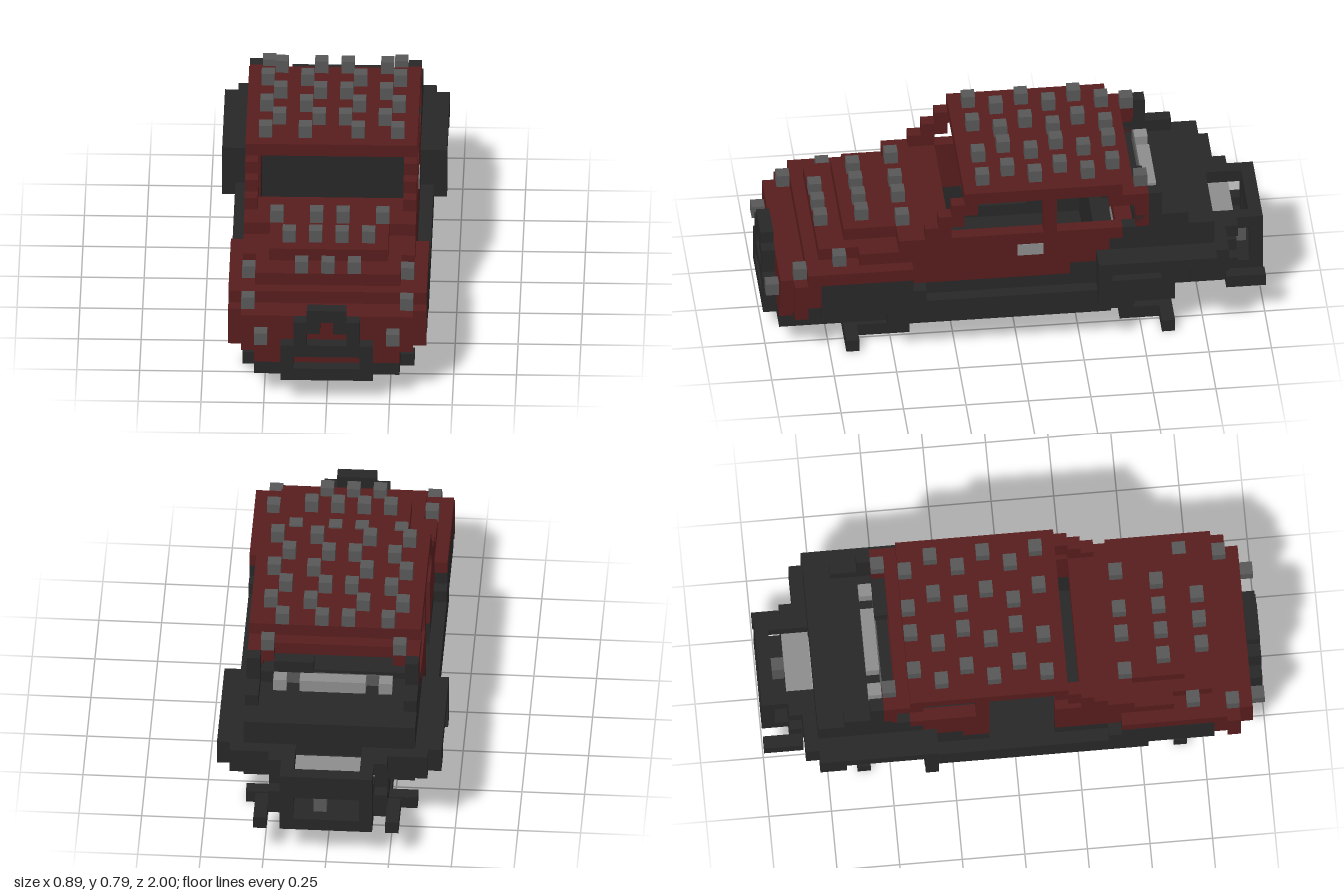
import * as THREE from 'three';

const V = 2 / 38; // edge of one block

const mat = (name, color) => {
  const m = new THREE.MeshStandardMaterial({ color });
  m.name = name;
  return m;
};

export function createModel() {
  const car = new THREE.Group();
  car.name = 'blockCar';
  const red = mat('body red', 0x571d1d);
  const dark = mat('trim black', 0x272727);
  const grey = mat('stud grey', 0x575757);
  const pale = mat('metal grey', 0x8c8c8c);
  const beige = mat('warm grey', 0xb2b1a5);

  // Ranges are block edges: x from the centre, y from the ground, k from the nose backwards
  const box = (name, m, x0, x1, y0, y1, k0, k1) => {
    const mesh = new THREE.Mesh(
      new THREE.BoxGeometry((x1 - x0) * V, (y1 - y0) * V, (k1 - k0) * V), m);
    mesh.position.set((x0 + x1) * V / 2, (y0 + y1) * V / 2, 1 - (k0 + k1) * V / 2);
    mesh.name = name;
    car.add(mesh);
  };
  const mid = (name, m, w, ...r) => box(name, m, -w, w, ...r);
  const pair = (name, m, x0, x1, ...r) => {
    box(name + 'Left', m, x0, x1, ...r);
    box(name + 'Right', m, -x1, -x0, ...r);
  };

  // Floor, bulkheads and sills
  mid('floor', dark, 5.5, 2, 3, 1, 26);
  mid('firewall', dark, 5.5, 3, 9, 12, 13);
  mid('rearBulkhead', dark, 5.5, 3, 9, 25, 26);
  pair('frontInnerSill', dark, 4.5, 5.5, 3, 4, 2, 9);
  pair('sill', dark, 5.5, 7.5, 3, 4, 9, 26);
  box('sillUpperLeft', dark, 5.5, 6.5, 4, 6, 12, 25);
  box('sillUpperRightFront', dark, -6.5, -5.5, 4, 6, 12, 16);
  box('sillUpperRightRear', dark, -6.5, -5.5, 4, 6, 21, 25);
  pair('sillLedge', dark, 6.5, 7.5, 4, 5, 12, 25);
  pair('frontWheelPanel', dark, 6.5, 7.5, 4, 7, 4, 11);
  pair('frontWheelPanelEnd', dark, 5.5, 7.5, 4, 6, 11, 12);
  pair('frontCorner', dark, 5.5, 6.5, 4, 5, 3, 4);

  // Nose and stepped bonnet
  mid('noseLower', red, 5.5, 3, 4, 1, 2);
  mid('nose', red, 6.5, 4, 7, 1, 2);
  pair('noseSide', red, 5.5, 7.5, 4, 7, 2, 3);
  pair('noseSideUpper', red, 5.5, 7.5, 5, 7, 3, 4);
  mid('bonnetFront', red, 6.5, 6, 7, 2, 4);
  mid('bonnetLow', red, 7.5, 7, 8, 3, 11);
  mid('bonnetMiddle', red, 5.5, 8, 9, 4, 14);
  mid('bonnetTop', red, 4.5, 9, 10, 6, 14);
  mid('scuttle', red, 6.5, 9, 10, 10, 14);
  pair('bonnetShoulder', red, 5.5, 6.5, 8, 9, 7, 12);
  pair('fenderRear', red, 5.5, 6.5, 6, 8, 11, 12);

  // Grille
  mid('grilleBase', dark, 3.5, 2, 3, 0, 1);
  pair('grilleSide', dark, 2.5, 3.5, 3, 4, 0, 1);
  mid('grilleBar', dark, 3.5, 4, 5, 0, 1);
  pair('grilleShoulder', dark, 1.5, 2.5, 5, 7, 0, 1);
  pair('grilleInner', dark, 0.5, 1.5, 6, 7, 0, 1);
  mid('grilleTop', dark, 1.5, 7, 8, 0, 1);

  // Doors: the left one is whole, the right one has an open gap
  box('doorLeft', red, 5.5, 6.5, 6, 10, 12, 23);
  box('doorFrontRight', red, -6.5, -5.5, 6, 10, 12, 16);
  box('doorRearRight', red, -6.5, -5.5, 6, 10, 21, 23);
  pair('quarterA', red, 5.5, 6.5, 7, 10, 23, 25);
  pair('quarterB', red, 5.5, 6.5, 8, 10, 25, 26);
  pair('quarterC', red, 5.5, 6.5, 9, 10, 26, 27);
  box('doorHandle', pale, 6.5, 6.55, 8, 9, 19, 21);

  // Pillars and roof
  [[10, 12], [11, 13], [12, 14]].forEach(([y, k]) =>
    pair('frontPillar', red, 5.5, 6.5, y, y + 1, k, k + 2));
  pair('centrePillar', red, 5.5, 6.5, 10, 13, 21, 22);
  pair('rearPillarTop', red, 5.5, 6.5, 12, 13, 26, 29);
  pair('rearPillar', red, 5.5, 6.5, 10, 12, 28, 29);
  mid('rearHeader', red, 5.5, 12, 13, 26, 28);
  pair('rearStudMount', red, 4.5, 5.5, 12, 13, 28, 29);
  mid('roof', red, 6.5, 13, 14, 15, 27);
  pair('rearWindowFin', dark, 5.5, 6.5, 11, 13, 29, 30);
  box('cabinUnit', dark, 1.5, 4.5, 11, 12, 28, 29);
  box('cabinUnitSide', dark, 4.5, 5.5, 10, 11, 28, 29);

  // Rear quarters and deck
  pair('rearQuarterA', dark, 5.5, 6.5, 4, 7, 23, 25);
  pair('rearQuarterB', dark, 5.5, 6.5, 4, 8, 25, 26);
  pair('rearQuarterC', dark, 5.5, 6.5, 7, 9, 26, 27);
  pair('rearQuarterD', dark, 5.5, 6.5, 7, 10, 27, 34);
  pair('rearQuarterE', dark, 5.5, 6.5, 10, 11, 28, 32);
  mid('deckStep', dark, 5.5, 9, 10, 28, 32);
  mid('deckLower', dark, 5.5, 8, 10, 32, 34);
  mid('deckVent', pale, 2.5, 10, 11, 29, 30);
  pair('deckVentSide', pale, 3.5, 4.5, 10, 11, 29, 30);
  mid('deckVentFront', grey, 4.5, 10, 11, 28.9, 29);

  // Rear arches: slim stepped beams over an open bay
  pair('archTop', dark, 6.5, 8.5, 7, 8, 26, 34);
  pair('archStep', dark, 6.5, 8.5, 6, 8, 25, 26);
  pair('archFront', dark, 6.5, 8.5, 4, 6, 25, 26);
  pair('archRear', dark, 6.5, 8.5, 6, 7, 32, 34);
  pair('rearCorner', dark, 4.5, 7.5, 6, 8, 34, 35);
  pair('bayBase', dark, 5.5, 6.5, 3, 5, 26, 31);
  pair('baySide', dark, 4.5, 6.5, 5, 7, 30, 34);
  pair('baySideRear', dark, 3.5, 4.5, 5, 7, 34, 35);
  [31, 33, 35].forEach((k) => pair('bayPost', dark, 3.5, 4.5, 4, 5, k, k + 1));

  // Engine bay
  mid('engine', pale, 2.5, 5, 6, 27, 29);
  mid('engineRed', red, 3.5, 6, 7, 27, 29);
  mid('engineRear', pale, 2.5, 6, 7, 29, 30);
  mid('engineCover', pale, 2.5, 6, 7, 34, 36);
  mid('engineTray', beige, 2.5, 2, 3, 31, 33);
  mid('engineBlock', beige, 2.5, 4, 5, 32, 35);
  pair('chassisRail', dark, 3.5, 4.5, 3, 4, 26, 36);
  mid('crossMember', dark, 5.5, 2, 4, 26, 28);
  mid('crossMemberRear', dark, 5.5, 3, 4, 30, 31);

  // Tail frame
  pair('tailShoulder', dark, 3.5, 4.5, 7, 8, 34, 36);
  pair('tailRail', dark, 2.5, 3.5, 7, 8, 34, 38);
  mid('tailTop', dark, 2.5, 7, 8, 37, 38);
  mid('tailPanel', dark, 3.5, 6, 7, 37, 38);
  pair('tailPost', dark, 2.5, 3.5, 4, 6, 37, 38);
  pair('tailInnerPost', dark, 2.5, 3.5, 4, 6, 35, 36);
  mid('tailBase', dark, 3.5, 3, 4, 35, 38);
  pair('tailProng', dark, 4.5, 5.5, 3, 4, 35, 38);
  box('tailStud', grey, 0, 1, 4, 6, 36, 37);

  // Landing feet: thin cross bars on legs, front and rear
  [[6, 7, 7, 11, 10, 13], [30, 31, 27, 30, 25, 28]].forEach(([a, b, c, d, e, f]) => {
    mid('footBar', dark, 6.5, 0, 1, a, b);
    pair('footLeg', dark, 3.5, 4.5, 0, 1, c, d);
    pair('footStem', dark, 3.5, 4.5, 1, 2, e, f);
  });

  // Studs: [bottom, k, x offsets]
  const studs = [
    [5, 0, [5]], [7, 2, [6]], [8, 5, [6]], [9, 4, [0, 2]],
    [10, 7, [1, 3]], [10, 10, [1, 4]], [13, 28, [5]]
  ];
  for (let i = 0; i < 6; i++) studs.push([14, 16 + 2 * i, i % 2 ? [1, 4] : [2, 5]]);
  studs.forEach(([y, k, xs]) => xs.forEach((x) => {
    if (x) pair('stud', grey, x - 0.5, x + 0.5, y, y + 1, k, k + 1);
    else mid('stud', grey, 0.5, y, y + 1, k, k + 1);
  }));

  return car;
}
